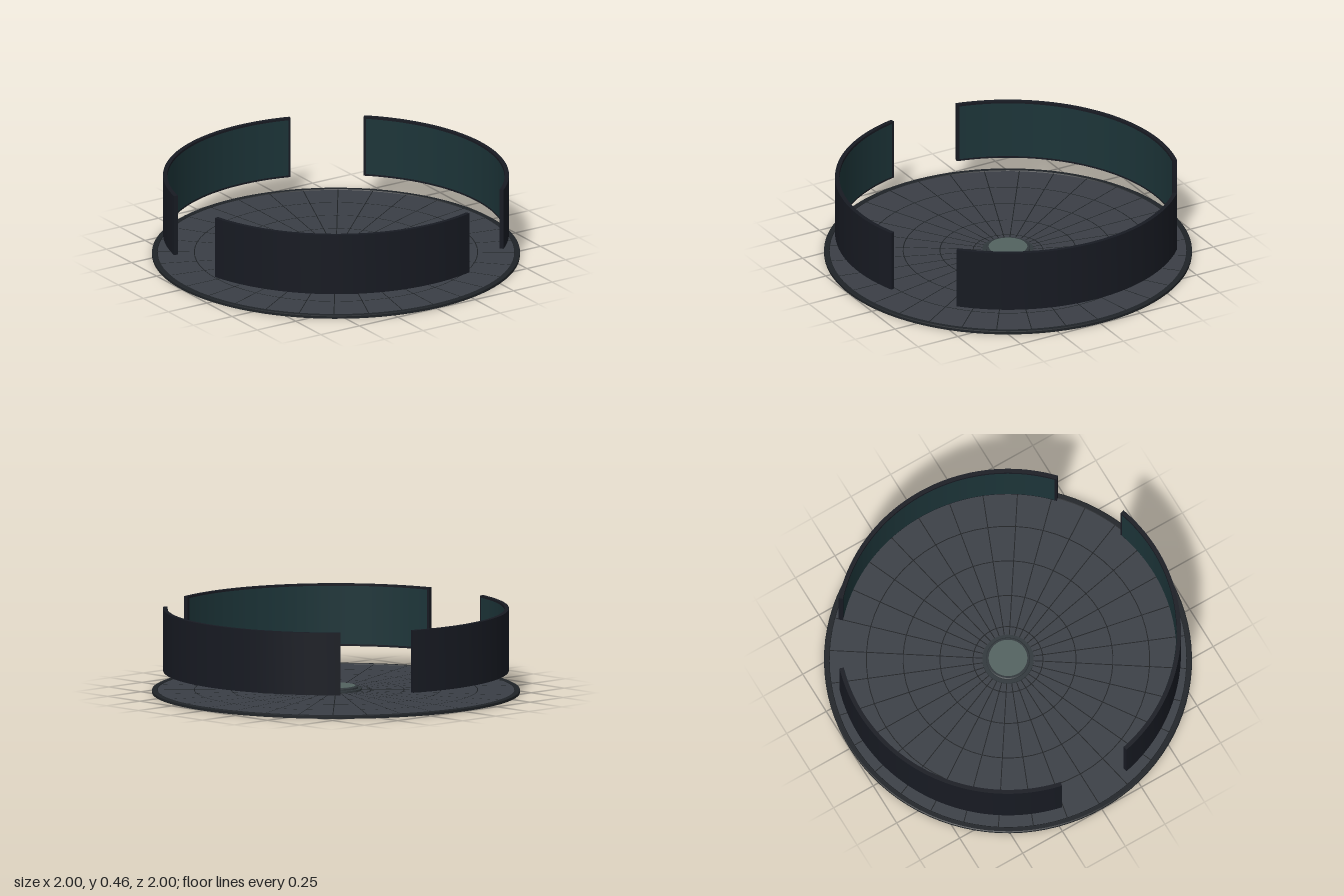
import * as THREE from 'three';
import { toCreasedNormals, mergeGeometries } from 'three/addons/utils/BufferGeometryUtils.js';

const paint = (color, side = THREE.FrontSide) => new THREE.MeshStandardMaterial({ color, side });
const MAT = {
  floor: paint(0x3a3e45),
  rim: paint(0x1f2327),
  line: paint(0x1c1f22),
  panel: paint(0x171a22),
  screen: paint(0x1c3438, THREE.DoubleSide),
  hub: paint(0x30373b),
  lens: paint(0x52625f),
};

function part(name, geometry, material) {
  const mesh = new THREE.Mesh(geometry, material);
  mesh.name = name;
  return mesh;
}

// Revolved solid with crisp edges
function turned(points, segments = 96) {
  const profile = points.map(([r, y]) => new THREE.Vector2(r, y));
  return toCreasedNormals(new THREE.LatheGeometry(profile, segments), 0.4);
}

// Curved wall centred on +x
function arcWall(inner, outer, halfAngle, y0, y1) {
  const shape = new THREE.Shape();
  shape.absarc(0, 0, outer, -halfAngle, halfAngle, false);
  shape.absarc(0, 0, inner, halfAngle, -halfAngle, true);
  shape.closePath();
  const geometry = new THREE.ExtrudeGeometry(shape, {
    depth: y1 - y0, bevelEnabled: false, curveSegments: 48,
  });
  geometry.rotateX(-Math.PI / 2).translate(0, y0, 0);
  return toCreasedNormals(geometry, 0.4);
}

// Thin rings and spokes drawn on the floor
function floorGrid(y) {
  const pieces = [];
  const width = 0.005;
  for (const r of [0.19, 0.37, 0.57, 0.77]) {
    pieces.push(new THREE.RingGeometry(r - width / 2, r + width / 2, 64));
  }
  const spokes = 32;
  for (let i = 0; i < spokes; i++) {
    const spoke = new THREE.PlaneGeometry(0.83, width);
    spoke.translate(0.555, 0, 0).rotateZ((i / spokes) * Math.PI * 2);
    pieces.push(spoke);
  }
  return mergeGeometries(pieces).rotateX(-Math.PI / 2).translate(0, y, 0);
}

export function createModel() {
  const model = new THREE.Group();
  model.name = 'roundStage';

  // Base disc with raised rim
  model.add(part('baseRim', turned([
    [0, 0], [1, 0], [1, 0.014], [0.995, 0.017], [0.972, 0.017], [0.968, 0.012],
  ]), MAT.rim));
  model.add(part('floor', turned([[0.97, 0.013], [0, 0.013]]), MAT.floor));
  model.add(part('floorGrid', floorGrid(0.0145), MAT.line));

  // Stepped hub with a pale disc on top
  model.add(part('hub', turned([
    [0.14, 0.012], [0.14, 0.024], [0.12, 0.024], [0.12, 0.033], [0.115, 0.037], [0, 0.037],
  ], 64), MAT.hub));
  model.add(part('hubDisc', new THREE.CylinderGeometry(0.105, 0.105, 0.004, 64)
    .translate(0, 0.037, 0), MAT.lens));

  // Three floating curved panels, each with a screen on its inner face
  const half = THREE.MathUtils.degToRad(47.5);
  const screenHalf = half - 0.015;
  const wall = arcWall(0.917, 0.94, half, 0.12, 0.462);
  const screen = new THREE.CylinderGeometry(
    0.915, 0.915, 0.32, 64, 1, true, Math.PI / 2 - screenHalf, screenHalf * 2,
  ).translate(0, 0.291, 0);
  for (let i = 0; i < 3; i++) {
    const panel = new THREE.Group();
    panel.name = 'curvedPanel' + (i + 1);
    panel.add(part('panelShell', wall, MAT.panel), part('panelScreen', screen, MAT.screen));
    panel.rotation.y = (i * Math.PI * 2) / 3;
    model.add(panel);
  }
  return model;
}
